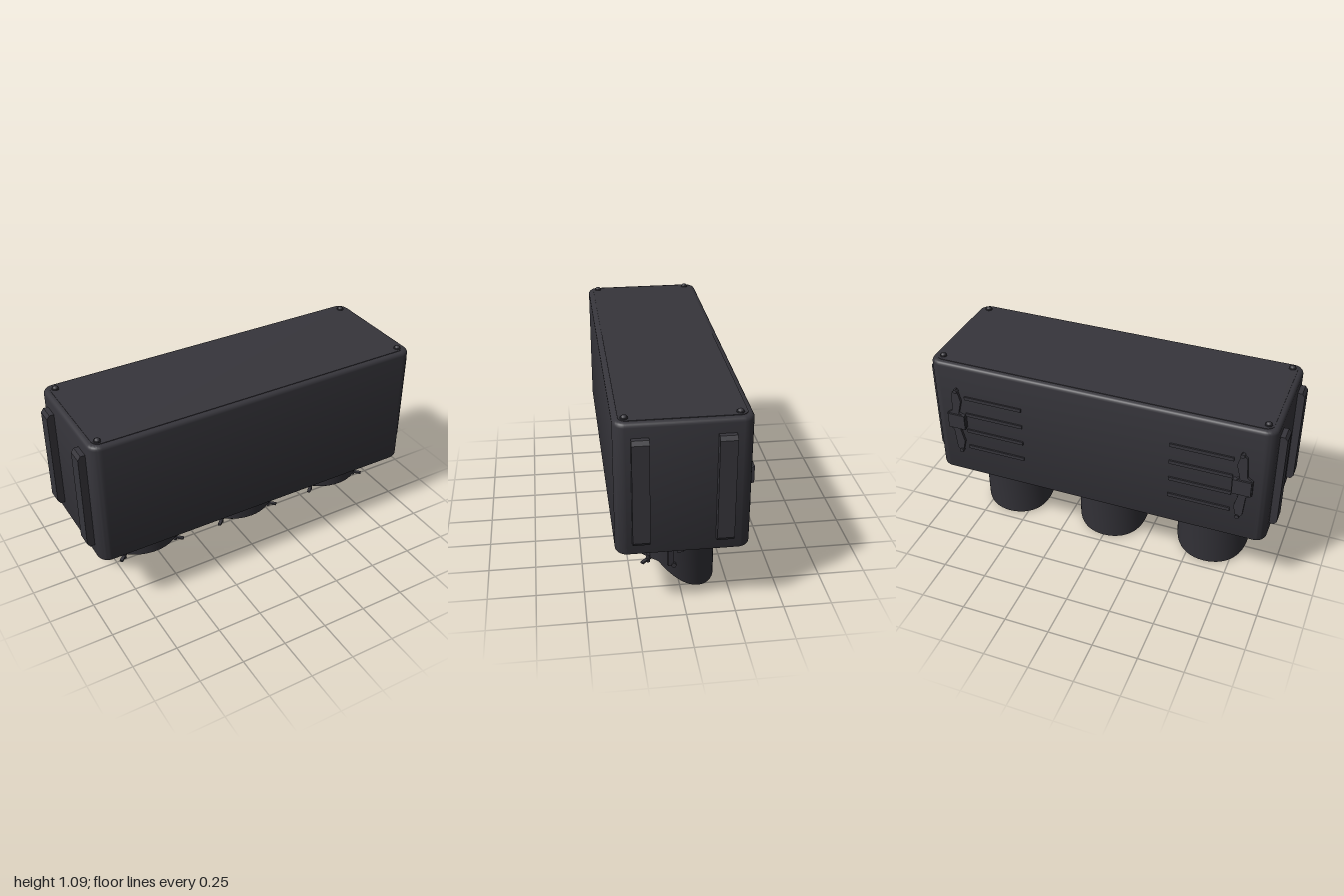
import * as THREE from 'three';
import { toCreasedNormals } from 'three/addons/utils/BufferGeometryUtils.js';

const paint = (name, color, side = THREE.FrontSide) => {
  const m = new THREE.MeshStandardMaterial({ color, side });
  m.name = name;
  return m;
};

export function createModel() {
  const model = new THREE.Group();
  model.name = 'signalHead';
  const housing = paint('charcoal housing', 0x36353b);
  const hood = paint('charcoal hood', 0x323137, THREE.DoubleSide);

  const CZ = 0.0125; // middle of the housing in depth

  function add(parent, name, geometry, material, x = 0, y = 0, z = 0) {
    const mesh = new THREE.Mesh(geometry, material);
    mesh.name = name;
    mesh.position.set(x, y, z);
    parent.add(mesh);
    return mesh;
  }

  const polygon = (pts) => new THREE.Shape(pts.map(([x, y]) => new THREE.Vector2(x, y)));

  function roundedRect(w, d, r) {
    const s = new THREE.Shape();
    s.absarc(w - r, d - r, r, 0, Math.PI / 2);
    s.absarc(r - w, d - r, r, Math.PI / 2, Math.PI);
    s.absarc(r - w, r - d, r, Math.PI, Math.PI * 1.5);
    s.absarc(w - r, r - d, r, Math.PI * 1.5, Math.PI * 2);
    s.closePath();
    return s;
  }

  // Housing: a rounded rectangle raised upward with soft top and bottom edges
  const bevel = 0.022;
  const body = new THREE.ExtrudeGeometry(roundedRect(0.96 - bevel, 0.333 - bevel, 0.04), {
    depth: 0.72 - 2 * bevel, bevelThickness: bevel, bevelSize: bevel, bevelSegments: 4, curveSegments: 6,
  });
  body.rotateX(-Math.PI / 2);
  add(model, 'housing', toCreasedNormals(body, 0.6), housing, 0, 0.355 + bevel, CZ);

  // Thin cover panel on top
  const cover = new THREE.ExtrudeGeometry(roundedRect(0.93, 0.305, 0.04), { depth: 0.006, bevelEnabled: false, curveSegments: 6 });
  cover.rotateX(-Math.PI / 2);
  add(model, 'topCover', cover, housing, 0, 1.072, CZ);

  // Corner screws on the top and bottom faces, each with a domed head
  for (const x of [-0.9, 0.9]) for (const z of [-0.255, 0.288]) for (const s of [1, -1]) {
    const y = s > 0 ? 1.077 : 0.355;
    add(model, 'screwWasher', new THREE.CylinderGeometry(0.02, 0.02, 0.012, 14), housing, x, y, z);
    const head = new THREE.SphereGeometry(0.016, 12, 8);
    head.scale(1, 0.8, 1);
    add(model, 'screwHead', head, housing, x, y + s * 0.005, z);
  }

  // Vertical rails on both ends, with chamfered tips
  for (const side of [-1, 1]) for (const z of [0.18, -0.23]) {
    const rail = new THREE.ExtrudeGeometry(polygon([
      [side * 0.95, 0.43], [side * 0.985, 0.43], [side, 0.45],
      [side, 0.98], [side * 0.985, 1.0], [side * 0.95, 1.0],
    ]), { depth: 0.085, bevelEnabled: false });
    add(model, 'endRail', rail, housing, 0, 0, z);
  }

  // Hinge plates and ribs on the back
  for (const side of [-1, 1]) {
    const plate = polygon([
      [0.8, 0.93], [0.83, 0.9], [0.84, 0.78], [0.87, 0.76], [0.87, 0.67], [0.84, 0.65], [0.83, 0.53], [0.8, 0.5],
      [0.78, 0.58], [0.8, 0.66], [0.76, 0.68], [0.76, 0.75], [0.8, 0.77], [0.78, 0.85],
    ].map(([x, y]) => [side * x, y]));
    add(model, 'hingePlate', new THREE.ExtrudeGeometry(plate, { depth: 0.025, bevelEnabled: false }),
      housing, 0, 0, -0.335);
    add(model, 'hingeKnuckle', new THREE.BoxGeometry(0.1, 0.09, 0.025), housing, side * 0.815, 0.715, -0.332);
    for (const y of [0.55, 0.66, 0.77, 0.88]) {
      add(model, 'backRib', new THREE.BoxGeometry(0.34, 0.02, 0.014), housing, side * 0.59, y - 0.006, -0.322);
    }
    for (const y of [0.515, 0.915]) {
      const pin = add(model, 'hingePin', new THREE.CylinderGeometry(0.012, 0.012, 0.024, 10), housing, side * 0.805, y, -0.331);
      pin.rotation.x = Math.PI / 2;
    }
  }

  // Hood wall: a ring whose lower lip is swept away toward the front
  const lip = (z) => 0.003 + 0.17 * Math.min(1.07, Math.max(0, (z + 0.2) / 0.3)) ** 2;
  function hoodGeometry() {
    const profile = [[0.196, 0.355], [0.198, 0.25], [0.2, 0], [0.21, 0], [0.211, 0.25], [0.216, 0.355]];
    const g = new THREE.LatheGeometry(profile.map(([r, y]) => new THREE.Vector2(r, y)), 48);
    const p = g.attributes.position;
    for (let i = 0; i < p.count; i++) {
      if (p.getY(i) < 0.01) p.setY(i, lip(p.getZ(i) + CZ));
    }
    g.computeVertexNormals();
    return toCreasedNormals(g, 0.7);
  }

  // Three lamps, each with lens, hood, collar and clips
  for (const x of [-0.61, 0, 0.61]) {
    const lamp = new THREE.Group();
    lamp.name = 'lamp';
    lamp.position.set(x, 0, CZ);
    model.add(lamp);

    add(lamp, 'hood', hoodGeometry(), hood);
    add(lamp, 'mountingRing', new THREE.CylinderGeometry(0.235, 0.222, 0.05, 40), hood, 0, 0.335, 0);
    add(lamp, 'frontLug', new THREE.BoxGeometry(0.3, 0.045, 0.06), hood, 0, 0.335, 0.222);
    const lens = new THREE.SphereGeometry(0.196, 32, 8, 0, Math.PI * 2, Math.PI / 2, Math.PI / 2);
    lens.scale(1, 0.25, 1);
    add(lamp, 'lens', lens, housing, 0, 0.312, 0);

    // Front collar around the short side of the hood
    const collar = new THREE.LatheGeometry(
      [[0.206, 0.31], [0.206, 0.215], [0.23, 0.215], [0.23, 0.32]].map(([r, y]) => new THREE.Vector2(r, y)),
      16, -0.8, 1.6);
    add(lamp, 'frontCollar', toCreasedNormals(collar, 0.7), hood);

    // Clips on the sides and back of the ring
    for (const a of [Math.PI / 2, Math.PI, -Math.PI / 2]) {
      const clip = add(lamp, 'clip', new THREE.BoxGeometry(0.032, 0.08, 0.03), housing,
        Math.sin(a) * 0.22, 0.315, Math.cos(a) * 0.215);
      clip.rotation.y = a;
    }

    // Side knobs and winged latches
    for (const side of [-1, 1]) {
      const knob = add(lamp, 'sideKnob', new THREE.CylinderGeometry(0.013, 0.013, 0.03, 10), housing, side * 0.212, 0.19, 0.03);
      knob.rotation.z = Math.PI / 2;
      add(lamp, 'sideStrap', new THREE.BoxGeometry(0.016, 0.13, 0.03), hood, side * 0.213, 0.25, 0.045);
      const latch = new THREE.Group();
      latch.name = 'latch';
      latch.position.set(side * 0.155, 0.195, 0.155);
      latch.rotation.y = side * Math.PI / 4;
      lamp.add(latch);
      add(latch, 'latchStem', new THREE.CylinderGeometry(0.011, 0.011, 0.045, 10), housing, 0, 0.005, 0);
      add(latch, 'latchWing', new THREE.BoxGeometry(0.018, 0.01, 0.07), housing, 0, 0, 0.015);
    }
  }

  return model;
}
